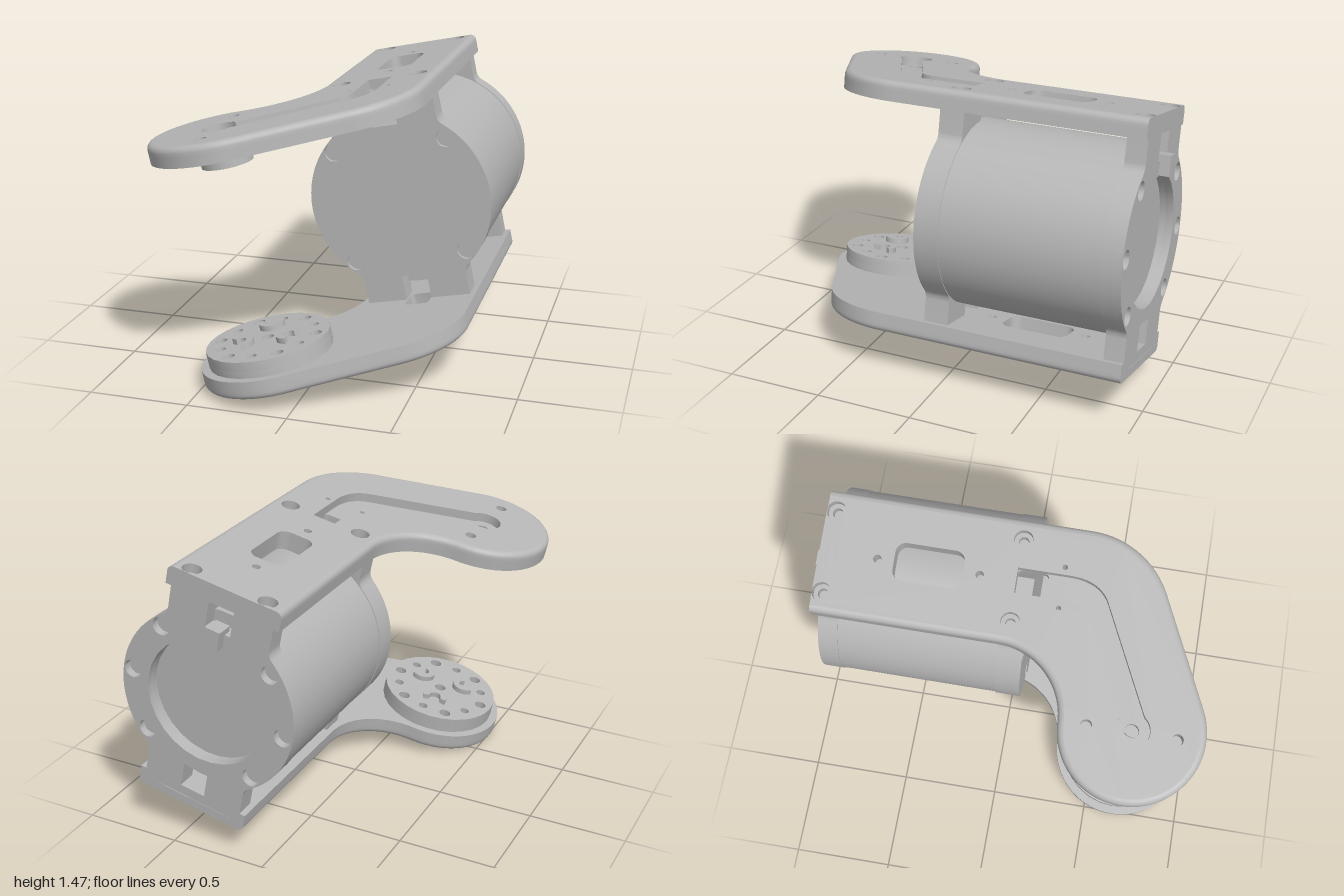
import * as THREE from 'three';
import { toCreasedNormals } from 'three/addons/utils/BufferGeometryUtils.js';

const metal = new THREE.MeshStandardMaterial({ color: 0xb6b6b6 });
metal.name = 'plain grey';

const RAD = Math.PI / 180;
const INNER = 0.525, THICK = 0.097, SPLIT = 0.05, ROUND = 0.03; // plate heights
const HUB = [-0.615, 0.65]; // centre of the round arm end

// Points along an arc, angles in degrees
function arc(cx, cy, r, a0, a1, n = 24) {
  return Array.from({ length: n + 1 }, (_, i) => {
    const a = (a0 + (a1 - a0) * i / n) * RAD;
    return new THREE.Vector2(cx + r * Math.cos(a), cy + r * Math.sin(a));
  });
}
const pt = (x, y) => new THREE.Vector2(x, y);
const circle = (x, y, r) => arc(x, y, r, 0, 360, 28).slice(0, -1);
const roundRect = (cx, cy, w, h, r) => [
  ...arc(cx + w - r, cy + h - r, r, 0, 90, 6), ...arc(cx - w + r, cy + h - r, r, 90, 180, 6),
  ...arc(cx - w + r, cy - h + r, r, 180, 270, 6), ...arc(cx + w - r, cy - h + r, r, 270, 360, 6)];

// Flat slab with holes, from height z0 to z1
function slab(points, holes, z0, z1) {
  const s = new THREE.Shape(points);
  s.holes = holes.map(h => new THREE.Path(h));
  const g = new THREE.ExtrudeGeometry(s, { depth: z1 - z0, bevelEnabled: false });
  g.translate(0, 0, z0);
  return toCreasedNormals(g, 0.5);
}

// Bent arm outline, inset by d everywhere but at the square back end
const armOutline = d => [
  pt(0.3 - d, -0.95),
  ...arc(-0.14, 0.319, 0.44 - d, 0, 64, 20),
  ...arc(...HUB, 0.35 - d, 64, 267.9, 44),
  ...arc(-0.64, -0.04, 0.34 + d, 87.9, 0, 24).slice(1),
  pt(-0.3 + d, -0.95)];

// Rounded outer edge of an arm
function armRim() {
  const rings = [[0, SPLIT]];
  for (let i = 0; i <= 5; i++) {
    const a = i * 18 * RAD;
    rings.push([ROUND * (1 - Math.cos(a)), THICK - ROUND + ROUND * Math.sin(a)]);
  }
  const pos = [], idx = [];
  let n = 0;
  rings.forEach(([d, z]) => {
    const o = armOutline(d);
    n = o.length;
    o.forEach(p => pos.push(p.x, p.y, z));
  });
  for (let r = 0; r < rings.length - 1; r++) for (let i = 0; i < n; i++) {
    const a = r * n + i, b = r * n + (i + 1) % n;
    idx.push(a, b, b + n, a, b + n, a + n);
  }
  const g = new THREE.BufferGeometry();
  g.setAttribute('position', new THREE.Float32BufferAttribute(pos, 3));
  g.setIndex(idx);
  return toCreasedNormals(g, 0.6);
}

// Mirror a triangle-soup geometry top to bottom, keeping faces outward
function flipY(g) {
  for (const name of ['position', 'normal']) {
    const a = g.attributes[name], v = new THREE.Vector3(), w = new THREE.Vector3();
    for (let i = 0; i < a.count; i += 3) {
      v.fromBufferAttribute(a, i + 1); w.fromBufferAttribute(a, i + 2);
      a.setY(i, -a.getY(i));
      a.setXYZ(i + 1, w.x, -w.y, w.z);
      a.setXYZ(i + 2, v.x, -v.y, v.z);
    }
  }
  return g;
}

function add(parent, name, geo) {
  const m = new THREE.Mesh(geo, metal);
  m.name = name;
  parent.add(m);
  return m;
}

// Lay a plate part down below (or, mirrored, above) the motor
function lay(parent, name, geo, top) {
  geo.rotateX(Math.PI / 2).translate(0, -INNER, 0);
  return add(parent, name, top ? flipY(geo) : geo);
}

const screws = r => [-0.2, 0.2].flatMap(x => [-0.905, 0.005].map(z => circle(x, z, r)));
const ring = (n, r, size, a0 = 0) => Array.from({ length: n }, (_, i) => {
  const a = (a0 + i * 360 / n) * RAD;
  return circle(HUB[0] + r * Math.cos(a), HUB[1] + r * Math.sin(a), size);
});

function buildArm(top) {
  const g = new THREE.Group();
  g.name = top ? 'upperArm' : 'lowerArm';
  const common = [roundRect(0.005, -0.422, 0.093, 0.168, 0.05),
    circle(0, -0.67, 0.02), circle(0, -0.175, 0.02)];
  const slot = roundRect(0.0025, 0.075, 0.0615, 0.075, 0.02);
  const hubHoles = top
    ? [circle(-0.625, 0.435, 0.028), circle(-0.625, 0.865, 0.028)]
    : [...ring(6, 0.25, 0.034), ...ring(6, 0.235, 0.024, 30), circle(...HUB, 0.025)];
  const pins = top ? [circle(-0.1, 0.22, 0.013), circle(0.1, 0.22, 0.013)] : [];
  // Cable groove sunk into the upper arm
  const groove = [pt(0.064, 0),
    ...new THREE.QuadraticBezierCurve(pt(0.064, 0.25), pt(0.064, 0.4), pt(-0.04, 0.45)).getPoints(10),
    ...arc(...HUB, 0.086, 35.5, 310, 28),
    ...new THREE.QuadraticBezierCurve(pt(-0.11, 0.365), pt(-0.06, 0.34), pt(-0.059, 0.25)).getPoints(8),
    pt(-0.059, 0)];
  const all = [...common, ...hubHoles, ...pins];
  lay(g, 'armInnerLayer', slab(armOutline(0),
    [...all, ...screws(0.025), slot, ...(top ? [circle(...HUB, 0.035)] : [])], 0, SPLIT), top);
  lay(g, 'armOuterLayer', slab(armOutline(ROUND),
    [...all, ...screws(0.047), top ? groove : slot], SPLIT, THICK), top);
  lay(g, 'armRoundedEdge', armRim(), top);
  return g;
}

// Round end bracket with necks reaching both arms
function bracketOutline() {
  const half = [
    ...arc(0, 0, 0.467, -51.2, 51.2, 32),
    ...arc(0.33, 0.411, 0.06, 231.2, 180, 8).slice(1),
    pt(0.27, 0.527), pt(0.067, 0.527), pt(0.067, 0.395),
    pt(-0.067, 0.395), pt(-0.067, 0.527), pt(-0.27, 0.527),
    ...arc(-0.33, 0.411, 0.06, 0, -51.2, 8).slice(0, -1)];
  return [...half, ...half.map(p => pt(-p.x, -p.y))];
}
const boltHoles = angles => angles.map(a =>
  circle(0.415 * Math.cos(a * RAD), 0.415 * Math.sin(a * RAD), 0.046));

export function createModel() {
  const model = new THREE.Group();
  model.name = 'motorJoint';
  const body = new THREE.Group();
  body.name = 'tiltedAssembly';
  body.position.set(0.3, 0.81, 0);
  body.rotation.z = 12 * RAD;
  model.add(body);

  body.add(buildArm(true), buildArm(false));

  // Motor body and its end brackets
  add(body, 'motorBody', new THREE.CylinderGeometry(0.463, 0.463, 0.85, 96)
    .rotateX(Math.PI / 2).translate(0, 0, -0.455));
  const outline = bracketOutline();
  add(body, 'frontBracket', slab(outline, [], -0.05, 0.055));
  add(body, 'frontBracketFace', slab(outline, boltHoles([45, 135, 225, 315]), 0.055, 0.075));
  const bore = circle(0, 0, 0.325);
  add(body, 'backBracket', slab(outline, [bore], -0.91, -0.85));
  add(body, 'backBracketFace', slab(outline, [bore, ...boltHoles([0, 45, 135, 180, 225, 315])], -0.95, -0.91));
  add(body, 'cableTab', new THREE.BoxGeometry(0.075, 0.1, 0.09).translate(0, 0.375, -0.955));

  // Bearing boss under the upper arm
  const boss = new THREE.LatheGeometry([
    pt(0.035, 0), pt(0.09, 0), pt(0.09, -0.07), pt(0.1, -0.08), pt(0.125, -0.08),
    pt(0.125, -0.012), pt(0.143, -0.012), pt(0.143, 0)], 48);
  add(body, 'bearingBoss', toCreasedNormals(boss, 0.5)).position.set(HUB[0], INNER, HUB[1]);

  // Output disc on the lower arm, with a ring of holes and three raised hooks
  const disc = new THREE.Group();
  disc.name = 'outputDisc';
  body.add(disc);
  const rim = circle(...HUB, 0.31);
  lay(disc, 'discBase', slab(rim, [], -0.035, 0), false);
  lay(disc, 'discFace', slab(rim,
    [...ring(6, 0.25, 0.03), ...ring(6, 0.235, 0.024, 30), circle(...HUB, 0.03)], -0.082, -0.035), false);
  for (const a of [20, 140, 260]) {
    const x = HUB[0] + 0.14 * Math.cos(a * RAD), y = HUB[1] + 0.14 * Math.sin(a * RAD);
    const hook = [...arc(x, y, 0.065, a + 70, a + 290, 16), ...arc(x, y, 0.03, a + 290, a + 70, 12)];
    lay(disc, 'discHook', slab(hook, [], -0.11, -0.08), false);
  }
  return model;
}
